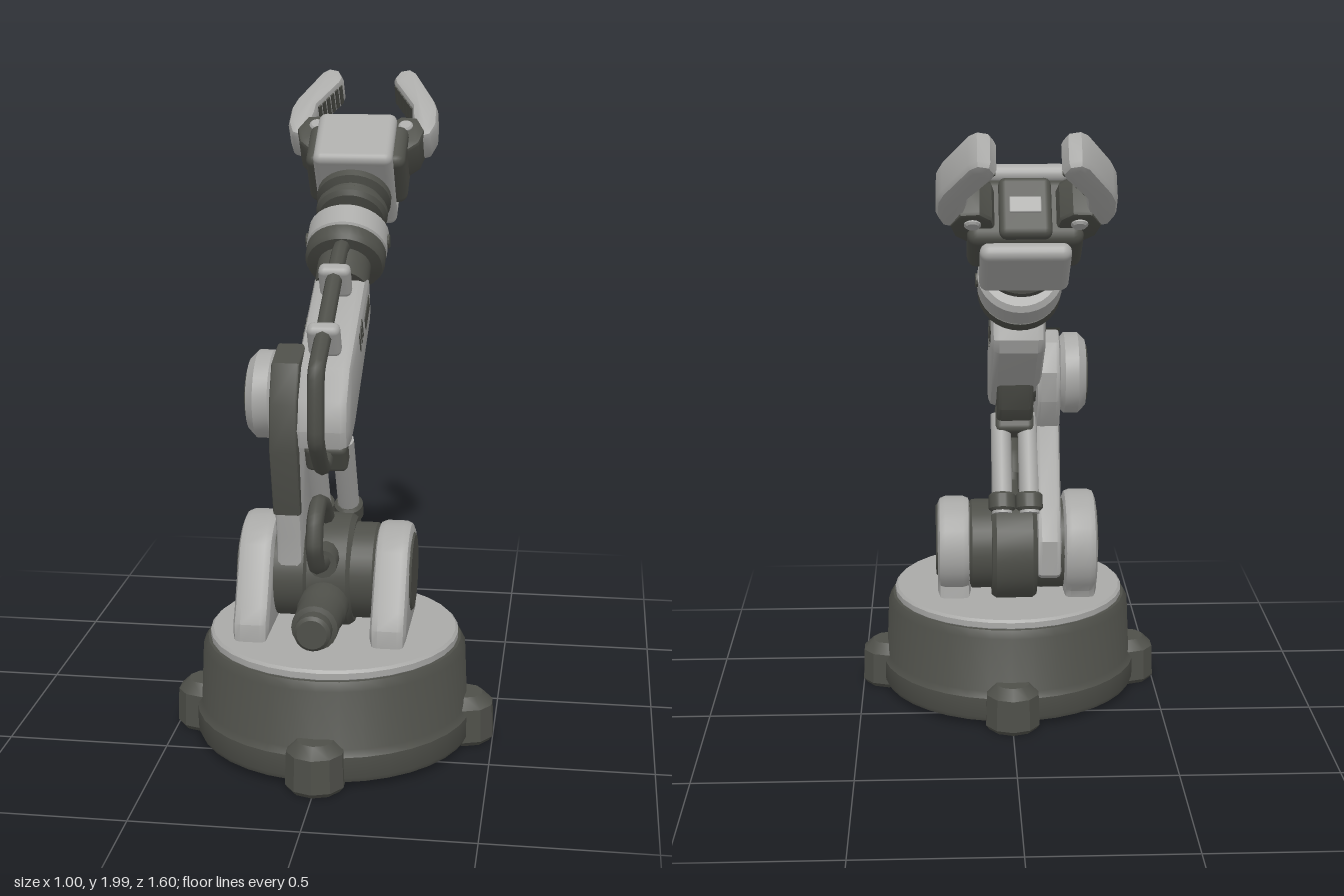
import * as THREE from 'three';
import { toCreasedNormals } from 'three/addons/utils/BufferGeometryUtils.js';
import { RoundedBoxGeometry } from 'three/addons/geometries/RoundedBoxGeometry.js';

const light = new THREE.MeshStandardMaterial({ color: 0xa9a9a7 });
light.name = 'light grey';
const dark = new THREE.MeshStandardMaterial({ color: 0x4e4f49 });
dark.name = 'dark grey';

const CX = -0.02; // centre plane of the arm

function add(parent, name, geometry, material, x = 0, y = 0, z = 0) {
  const mesh = new THREE.Mesh(geometry, material);
  mesh.name = name;
  mesh.position.set(x, y, z);
  parent.add(mesh);
  return mesh;
}

// Solid of revolution about y from [radius, height] pairs, listed upwards
function turned(profile, segments = 32) {
  const pts = profile.map(([r, h]) => new THREE.Vector2(r, h));
  return toCreasedNormals(new THREE.LatheGeometry(pts, segments), 0.6);
}

// Bevelled disc about y, from height a to b
const disc = (r, a, b, bevel = 0.015) => turned([
  [0, a], [r - bevel, a], [r, a + bevel], [r, b - bevel], [r - bevel, b], [0, b]]);

// Bevelled disc about x, from x0 to x1
const sideDisc = (r, x0, x1, bevel) => disc(r, -x1, -x0, bevel).rotateZ(Math.PI / 2);

// Bevelled plate from outline points, extruded along z and centred on it
function plate(outline, width, bevel) {
  const shape = new THREE.Shape(outline.map(([a, b]) => new THREE.Vector2(a, b)));
  const geo = new THREE.ExtrudeGeometry(shape, {
    depth: width - 2 * bevel, bevelThickness: bevel, bevelSize: bevel,
    bevelOffset: -bevel, bevelSegments: 2 });
  geo.translate(0, 0, bevel - width / 2);
  return toCreasedNormals(geo, 0.6);
}

// Plate whose outline is given as [z, y], spanning x0 to x1
function sidePlate(outline, x0, x1, bevel = 0.02) {
  return plate(outline, x1 - x0, bevel).rotateY(-Math.PI / 2).translate((x0 + x1) / 2, 0, 0);
}

// Tube in the arm's centre plane through [z, y] points
function cable(points, radius) {
  const curve = new THREE.CatmullRomCurve3(
    points.map(([z, y]) => new THREE.Vector3(CX, y, z)), false, 'catmullrom', 0.25);
  return new THREE.TubeGeometry(curve, 48, radius, 8);
}

function buildBase() {
  const base = new THREE.Group();
  base.name = 'base';
  base.position.z = 0.3;
  add(base, 'baseDrum', turned([[0, 0.02], [0.425, 0.02], [0.432, 0.035], [0.432, 0.1],
    [0.418, 0.12], [0.41, 0.3], [0.395, 0.325], [0, 0.325]], 36), dark);
  add(base, 'turntable', disc(0.387, 0.32, 0.355, 0.008), light);
  for (let i = 0; i < 4; i++) {
    const a = i * Math.PI / 2;
    add(base, 'foot', turned([[0, 0], [0.08, 0], [0.092, 0.015], [0.088, 0.12],
      [0.055, 0.152], [0, 0.152]], 10), dark, 0.413 * Math.cos(a), 0, 0.413 * Math.sin(a));
  }
  // shallow ribs under the base
  for (let i = 0; i < 4; i++) {
    add(base, 'underRib', new THREE.BoxGeometry(0.8, 0.012, 0.02), dark, 0, 0.017, 0).rotation.y = i * Math.PI / 4;
  }
  return base;
}

function buildShoulder() {
  const g = new THREE.Group();
  g.name = 'shoulder';
  // bracket: round top running into a forward leg
  const bracket = (r) => {
    const pts = [[0.49, 0.35], [0.49, 0.41], [0.46, 0.46]];
    for (let i = 0; i <= 14; i++) {
      const a = (40 + i * 13.5) * Math.PI / 180;
      pts.push([0.24 + r * Math.cos(a), 0.515 + r * Math.sin(a)]);
    }
    pts.push([0.13, 0.35]);
    return pts;
  };
  add(g, 'leftBracket', sidePlate(bracket(0.16), 0.13, 0.24, 0.025), light);
  add(g, 'rightBracket', sidePlate(bracket(0.18), -0.29, -0.18, 0.025), light);
  for (const [x0, x1] of [[0.22, 0.246], [-0.296, -0.27]]) {
    add(g, 'shoulderCap', sideDisc(0.122, x0, x1, 0.006), dark, 0, 0.523, 0.255);
  }
  add(g, 'shoulderDrum', sideDisc(0.178, -0.09, 0.06), dark, 0, 0.51, 0.22);
  add(g, 'shoulderAxle', sideDisc(0.15, -0.2, 0.14), dark, 0, 0.515, 0.235);
  // motor sticking out forwards
  const motor = turned([[0, 0], [0.075, 0], [0.075, 0.13], [0.07, 0.14], [0.07, 0.26],
    [0.055, 0.265], [0.055, 0.305], [0.045, 0.315], [0, 0.315]], 20).rotateX(Math.PI / 2);
  add(g, 'motor', motor, dark, CX, 0.45, 0.33);
  add(g, 'cableSocket', turned([[0, 0], [0.045, 0], [0.045, 0.09], [0, 0.09]], 12).rotateX(Math.PI / 2),
    dark, CX, 0.595, 0.34);
  add(g, 'cableLoop', cable([[0.38, 0.595], [0.45, 0.605], [0.54, 0.63], [0.585, 0.7],
    [0.565, 0.775], [0.5, 0.81], [0.4, 0.775], [0.34, 0.72]], 0.026), dark);
  return g;
}

function buildUpperArm() {
  const g = new THREE.Group();
  g.name = 'upperArm';
  add(g, 'link', sidePlate([[0.165, 1.12], [0.22, 1.21], [0.31, 1.24], [0.41, 1.2], [0.455, 1.1],
    [0.46, 0.96], [0.38, 0.66], [0.37, 0.46], [0.22, 0.36], [0.08, 0.45], [0.07, 0.57],
    [0.14, 0.68], [0.24, 0.92], [0.175, 1.02]], -0.17, -0.09, 0.015), light);
  // dark cover wrapped over the front edge of the link
  add(g, 'linkCover', sidePlate([[0.29, 1.246], [0.42, 1.215], [0.47, 1.1], [0.472, 0.95],
    [0.412, 0.74], [0.39, 0.74], [0.43, 0.96], [0.42, 1.1], [0.38, 1.17]], -0.173, -0.087, 0.008), dark);
  add(g, 'elbowDisc', sideDisc(0.135, -0.255, -0.16, 0.025), light, 0, 1.09, 0.3);
  add(g, 'elbowCap', sideDisc(0.095, -0.261, -0.24, 0.005), dark, 0, 1.09, 0.3);
  add(g, 'elbowAxle', sideDisc(0.1, -0.17, -0.02), dark, 0, 1.09, 0.31);
  // struts between the shoulder drum and the elbow block
  const strut = Math.atan2(0.14, 0.26);
  for (const x of [-0.065, 0.025]) {
    add(g, 'strut', turned([[0, -0.17], [0.034, -0.17], [0.034, 0.17], [0, 0.17]], 12), light, x, 0.8, 0.21).rotation.x = strut;
    add(g, 'strutCollar', disc(0.045, -0.03, 0.03, 0.008), dark, x, 0.685, 0.148).rotation.x = strut;
  }
  add(g, 'elbowBlock', new RoundedBoxGeometry(0.13, 0.1, 0.12, 2, 0.02), dark, CX, 0.925, 0.3).rotation.x = strut;
  return g;
}

function buildForearm() {
  const g = new THREE.Group();
  g.name = 'forearm';
  add(g, 'forearmShell', sidePlate([[0.472, 1.02], [0.455, 1.11], [0.39, 1.2], [0, 1.412],
    [-0.045, 1.41], [-0.092, 1.285], [-0.075, 1.24], [0.3, 0.99], [0.39, 0.955], [0.455, 0.965]],
    CX - 0.085, CX + 0.085, 0.025), light);
  // web under the elbow
  add(g, 'elbowWeb', sidePlate([[0.16, 1.1], [0.19, 0.99], [0.25, 0.93], [0.36, 0.94], [0.34, 1.05]],
    -0.08, 0.04, 0.015), dark);
  // dark slots on both sides
  const slot = (w, h) => new RoundedBoxGeometry(0.008, h, w, 2, 0.003);
  for (const s of [-1, 1]) {
    const x = CX + s * 0.084;
    add(g, 'sideSlot', slot(0.11, 0.05), dark, x, 1.295, 0.03).rotation.x = 0.55;
    for (const [z, y] of [[0.2, 1.235], [0.17, 1.253], [0.145, 1.268]]) {
      add(g, 'ventSlit', slot(0.012, 0.07), dark, x, y, z).rotation.x = 0.55;
    }
  }
  add(g, 'armCable', cable([[0.3, 0.94], [0.4, 0.895], [0.46, 0.925], [0.545, 1.02], [0.535, 1.215],
    [0.39, 1.295], [0.14, 1.435], [0.03, 1.487], [-0.03, 1.49], [-0.1, 1.45]], 0.026), dark);
  for (const [z, y] of [[0.37, 1.28], [0.135, 1.415]]) {
    add(g, 'cableClip', new RoundedBoxGeometry(0.1, 0.11, 0.05, 2, 0.02), light, CX, y, z).rotation.x = 0.5;
  }
  return g;
}

// Wrist and gripper: local y runs along the arm, local z is the upper side
function buildHand() {
  const g = new THREE.Group();
  g.name = 'hand';
  g.position.set(CX, 1.483, -0.154);
  g.rotation.x = -0.916;
  add(g, 'wristNeck', turned([[0, -0.2], [0.085, -0.2], [0.085, -0.1], [0.12, -0.095], [0.128, -0.08],
    [0.128, -0.04], [0, -0.04]]), dark);
  add(g, 'wristRing', disc(0.13, -0.045, 0.06), light);
  for (const s of [-1, 1]) {
    add(g, 'ringBolt', sideDisc(0.022, -0.006, 0.006, 0.002), dark, s * 0.13, 0.01, 0);
  }
  add(g, 'wristBellows', turned([[0, 0.05], [0.07, 0.05], [0.07, 0.1], [0.105, 0.11], [0.117, 0.125],
    [0.117, 0.145], [0.1, 0.162], [0.1, 0.172], [0.122, 0.185], [0.122, 0.21], [0.105, 0.225],
    [0.09, 0.24], [0, 0.24]]), dark);
  // light shell around a dark core
  add(g, 'palmBack', new RoundedBoxGeometry(0.26, 0.06, 0.3, 3, 0.025), light, 0, 0.255, 0);
  for (const s of [-1, 1]) {
    add(g, 'palmPad', new RoundedBoxGeometry(0.26, 0.225, 0.055, 3, 0.026), light, 0, 0.337, s * 0.128);
  }
  add(g, 'palmCore', new RoundedBoxGeometry(0.33, 0.18, 0.205, 2, 0.03), dark, 0, 0.36, 0);
  add(g, 'palmFront', new RoundedBoxGeometry(0.15, 0.12, 0.19, 2, 0.02), dark, 0, 0.41, 0);
  add(g, 'palmSlot', new RoundedBoxGeometry(0.09, 0.008, 0.05, 2, 0.003), light, 0, 0.471, 0);
  for (const s of [-1, 1]) {
    const flip = (pts) => pts.map(([x, y]) => [s * x, y]);
    add(g, 'knuckle', plate(flip([[0.08, 0.41], [0.16, 0.36], [0.2, 0.4], [0.215, 0.46],
      [0.185, 0.52], [0.13, 0.525], [0.095, 0.49]]), 0.13, 0.012), dark);
    add(g, 'knuckleBolt', disc(0.024, -0.075, 0.075, 0.006).rotateX(Math.PI / 2), light, s * 0.15, 0.475, 0);
    add(g, 'finger', plate(flip([[0.175, 0.5], [0.2, 0.435], [0.235, 0.45], [0.252, 0.5], [0.25, 0.575],
      [0.235, 0.62], [0.165, 0.752], [0.14, 0.772], [0.105, 0.762], [0.088, 0.725], [0.095, 0.7],
      [0.162, 0.59], [0.165, 0.55]]), 0.118, 0.02), light);
    // ridged grip along the inner face of the finger
    for (let i = 0; i < 6; i++) {
      const k = i / 5;
      add(g, 'gripRidge', new THREE.BoxGeometry(0.012, 0.014, 0.08), dark,
        s * (0.159 - 0.06 * k), 0.597 + 0.1 * k, 0).rotation.z = s * 0.54;
    }
  }
  return g;
}

export function createModel() {
  const model = new THREE.Group();
  model.name = 'robotArm';
  model.add(buildBase(), buildShoulder(), buildUpperArm(), buildForearm(), buildHand());
  return model;
}
